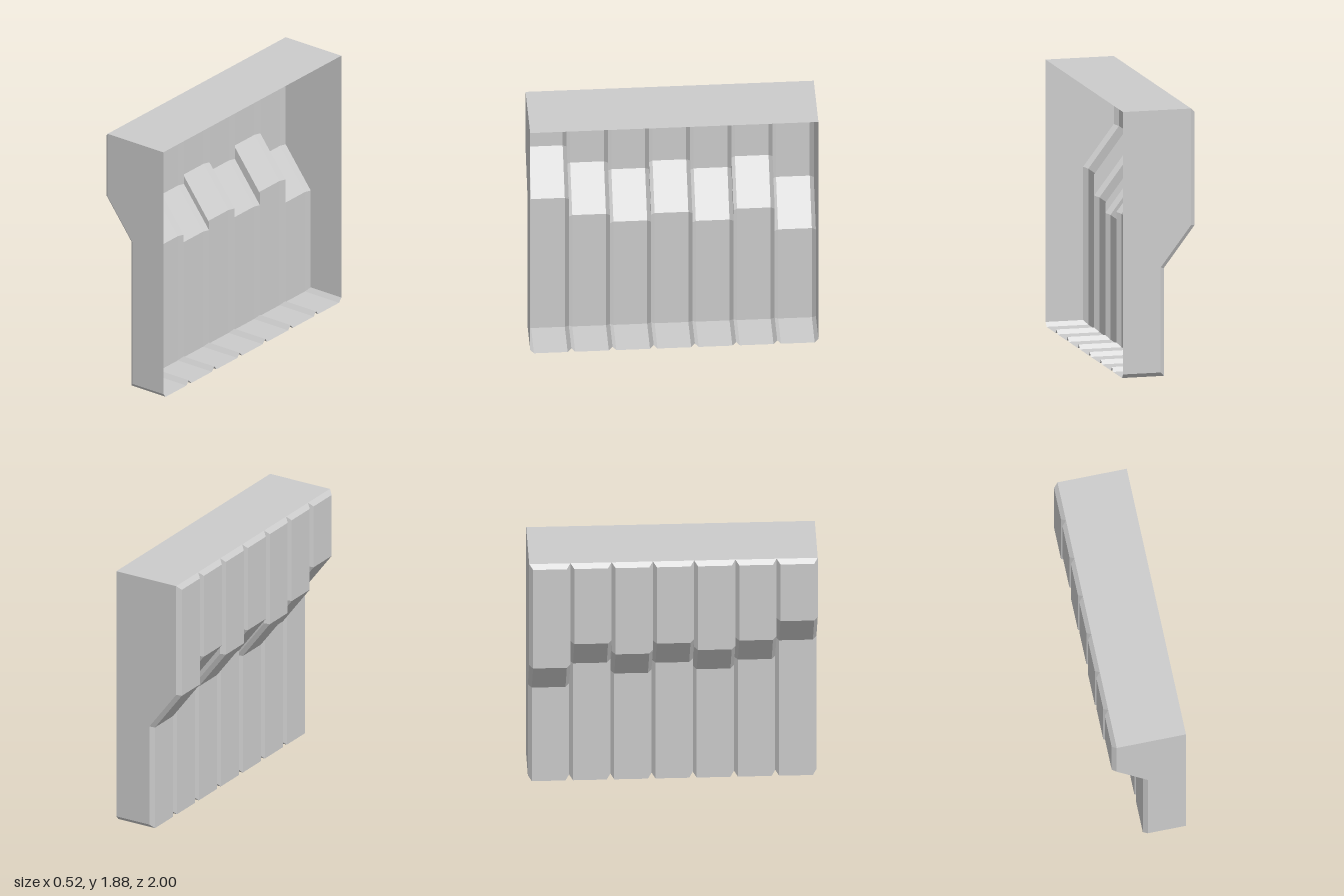
import * as THREE from 'three';

const H = 1.88;          // total height
const BACK = 0.26;       // open rim
const LOW = -0.04;       // recessed lower face
const HIGH = -0.26;      // overhanging upper face
const C = 0.03;          // bevel depth
const CZ = 0.026;        // bevel width along the wall
const RISE = 0.29;       // height of each slope

// Height at which the slope starts, plank by plank from z = -1 to z = +1
const steps = [0.76, 0.95, 0.86, 0.94, 0.88, 0.95, 1.10];
const W = 2 / steps.length;

const material = new THREE.MeshStandardMaterial({
  color: 0xcccccc, flatShading: true, side: THREE.DoubleSide,
});

// Outer profile of a plank, and the same profile set in by the bevel
const outer = (y) => [[BACK, 0], [LOW, 0], [LOW, y], [HIGH, y + RISE], [HIGH, H - C]];
const inner = (y) => [[BACK, C], [LOW + C, C], [LOW + C, y + 0.01], [HIGH + C, y + RISE + 0.01], [HIGH + C, H]];

// Mesh from a list of four-cornered faces
function quadMesh(name, quads) {
  const pos = [];
  for (const [a, b, c, d] of quads) pos.push(...a, ...b, ...c, ...a, ...c, ...d);
  const geo = new THREE.BufferGeometry();
  geo.setAttribute('position', new THREE.Float32BufferAttribute(pos, 3));
  geo.computeVertexNormals();
  const mesh = new THREE.Mesh(geo, material);
  mesh.name = name;
  return mesh;
}

// Bent plank with bevelled long edges and a bevelled top edge
function plank(z0, z1, y) {
  const o = outer(y), n = inner(y), quads = [];
  const rows = o.map((p, i) => [
    [...n[i], z0], [...p, z0 + CZ], [...p, z1 - CZ], [...n[i], z1],
  ]);
  for (let i = 0; i < rows.length - 1; i++) {
    for (let k = 0; k < 3; k++) {
      quads.push([rows[i][k], rows[i][k + 1], rows[i + 1][k + 1], rows[i + 1][k]]);
    }
  }
  const last = rows[rows.length - 1];
  quads.push([last[1], last[2], last[3], last[0]]);
  return quadMesh('plank', quads);
}

// Small wall closing the gap between neighbouring slopes
function stepWall(z, ya, yb) {
  const a = inner(ya), b = inner(yb);
  return quadMesh('stepWall', [[[...a[3], z], [...a[2], z], [...b[2], z], [...b[3], z]]]);
}

// Flat end of the shell
function endWall(side, y) {
  const pts = [...inner(y), [BACK, H]].map(([px, py]) => new THREE.Vector2(px, py));
  const mesh = new THREE.Mesh(new THREE.ShapeGeometry(new THREE.Shape(pts)), material);
  mesh.name = side > 0 ? 'frontEndWall' : 'backEndWall';
  mesh.position.z = side;
  mesh.scale.z = side;
  return mesh;
}

export function createModel() {
  const group = new THREE.Group();
  group.name = 'steppedPlankWall';

  steps.forEach((y, i) => {
    const z = -1 + i * W;
    group.add(plank(z, z + W, y));
    if (i > 0) group.add(stepWall(z, steps[i - 1], y));
  });

  // Flat top, the long side towards +x stays open
  const x = HIGH + C;
  group.add(quadMesh('topPanel', [[[x, H, -1], [x, H, 1], [BACK, H, 1], [BACK, H, -1]]]));

  group.add(endWall(1, steps[steps.length - 1]), endWall(-1, steps[0]));
  return group;
}
